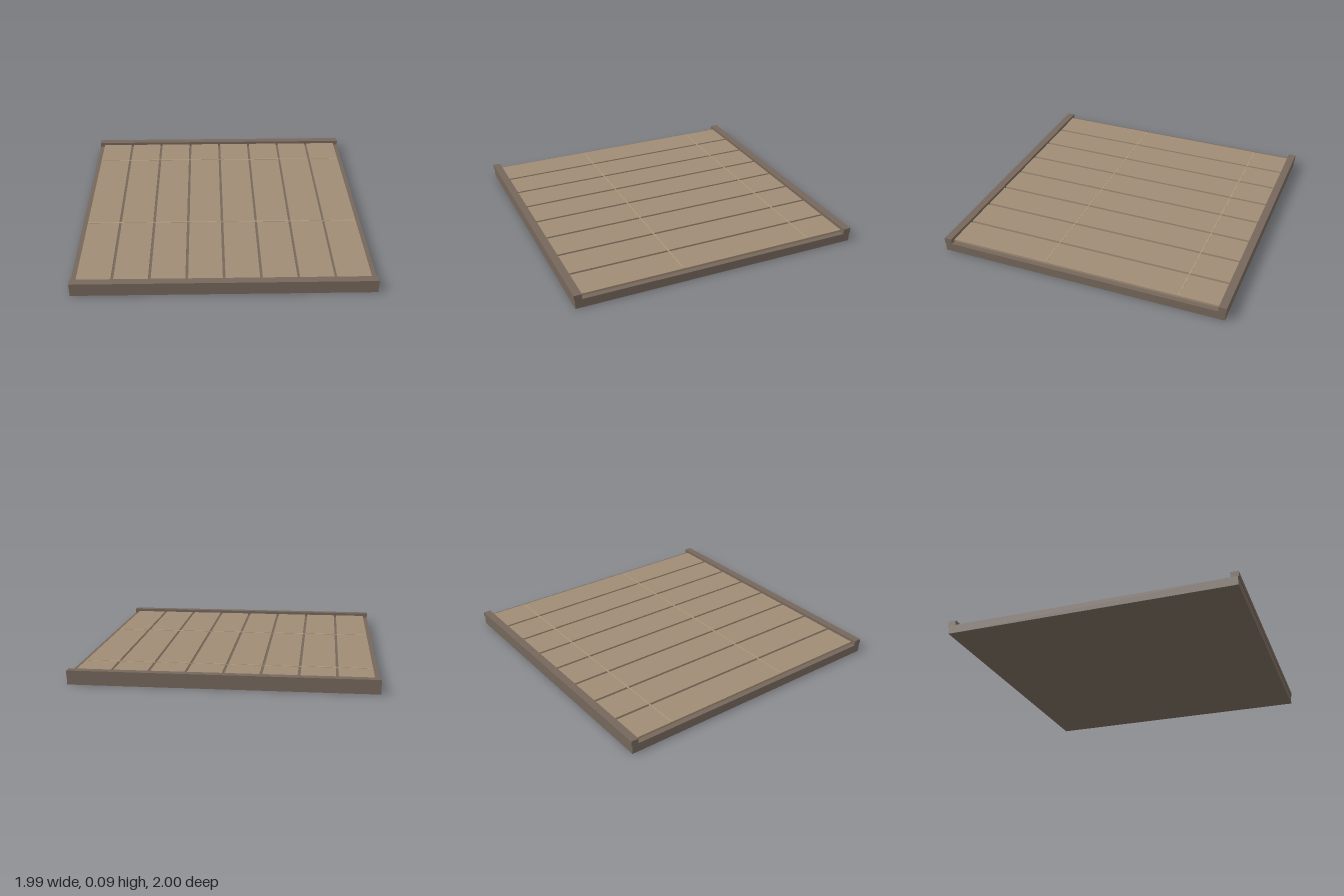
import * as THREE from 'three';

export function createModel() {
  const group = new THREE.Group();
  const frameMat = new THREE.MeshStandardMaterial({ color: 0x75675b });
  const plankMat = new THREE.MeshStandardMaterial({ color: 0xa08c75 });
  const seamMat = new THREE.MeshStandardMaterial({ color: 0xae9878 });

  // Box spanning y0..y1, centred on x and z
  function slab(name, material, w, y0, y1, d, x = 0, z = 0) {
    const mesh = new THREE.Mesh(new THREE.BoxGeometry(w, y1 - y0, d), material);
    mesh.name = name;
    mesh.position.set(x, (y0 + y1) / 2, z);
    group.add(mesh);
  }

  // Base slab, visible between the planks
  slab('base', frameMat, 1.987, 0, 0.06, 1.987);

  // Raised rails along the front and back edges
  slab('frontRail', frameMat, 1.987, 0.06, 0.095, 0.053, 0, 0.9735);
  slab('backRail', frameMat, 1.987, 0.06, 0.095, 0.053, 0, -0.9735);

  // Eight floor planks with narrow gaps
  const pitch = 0.242;
  for (let i = 0; i < 8; i++) {
    slab('plank', plankMat, pitch - 0.018, 0.06, 0.075, 1.894, (i - 3.5) * pitch);
  }

  // Thin cross seams over the planks
  for (const z of [-0.675, 0.253]) {
    slab('crossSeam', seamMat, 1.9, 0.071, 0.077, 0.008, 0, z);
  }

  return group;
}
